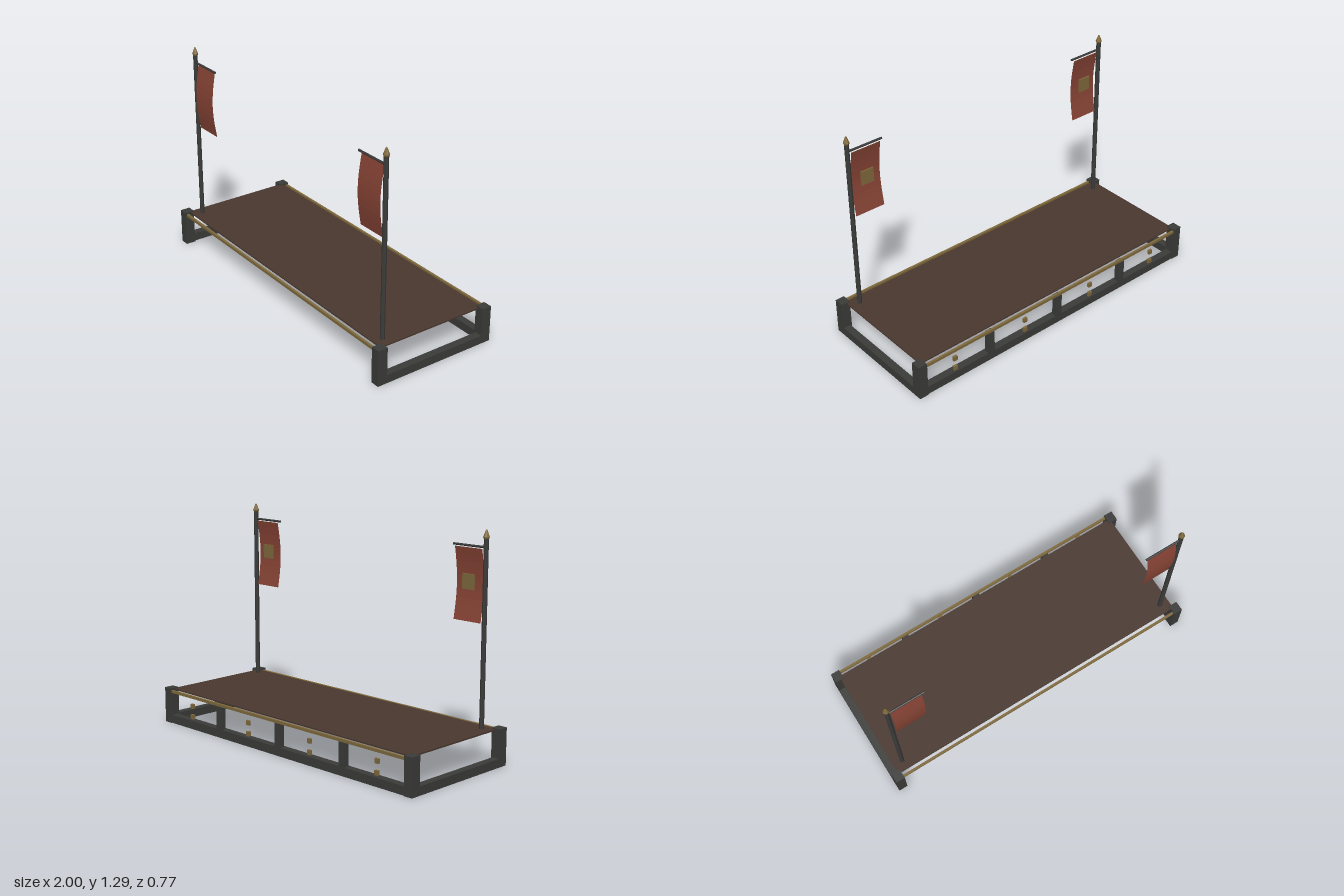
import * as THREE from 'three';

const paint = (color, side = THREE.FrontSide) =>
  new THREE.MeshStandardMaterial({ color, side, flatShading: true });

export function createModel() {
  const model = new THREE.Group();
  model.name = 'bannerPlatform';
  const iron = paint(0x3b3c3a);
  const wood = paint(0x49382f);
  const brass = paint(0x806a3c);
  const cloth = paint(0x8a4536, THREE.DoubleSide);

  const add = (parent, name, geometry, material, x, y, z) => {
    const mesh = new THREE.Mesh(geometry, material);
    mesh.name = name;
    mesh.position.set(x, y, z);
    parent.add(mesh);
    return mesh;
  };
  const box = (parent, name, material, w, h, d, x, y, z) =>
    add(parent, name, new THREE.BoxGeometry(w, h, d), material, x, y, z);

  // Deck and the long brass rails in front of and behind it
  box(model, 'deck', wood, 1.93, 0.008, 0.695, 0, 0.204, -0.003);
  box(model, 'frontRail', brass, 1.9, 0.016, 0.014, 0, 0.196, 0.369);
  box(model, 'backRail', brass, 1.9, 0.016, 0.014, 0, 0.196, -0.374);

  // Frame: corner posts, side sills and back sill
  for (const s of [-1, 1]) {
    for (const t of [-1, 1]) {
      box(model, 'cornerPost', iron, 0.055, 0.215, 0.06, s * 0.9725, 0.1075, t * 0.355);
    }
    box(model, 'sideSill', iron, 0.045, 0.05, 0.65, s * 0.9775, 0.025, 0);
  }
  box(model, 'backSill', iron, 1.89, 0.05, 0.045, 0, 0.025, -0.3575);

  // Back stiles, with a pair of brass studs in each bay
  for (const x of [-0.5, 0, 0.5]) {
    box(model, 'backStile', iron, 0.04, 0.14, 0.035, x, 0.118, -0.3665);
  }
  for (const x of [-0.75, -0.25, 0.25, 0.75]) {
    for (const y of [0.14, 0.075]) box(model, 'stud', brass, 0.025, 0.027, 0.015, x, y, -0.374);
  }

  // Banner poles, mirrored left and right; each banner hangs inwards
  const poleZ = 0.286;
  for (const s of [-1, 1]) {
    const standard = new THREE.Group();
    standard.name = s > 0 ? 'leftBanner' : 'rightBanner';
    standard.position.set(s * 0.905, 0, poleZ);
    model.add(standard);

    add(standard, 'pole', new THREE.CylinderGeometry(0.0135, 0.0135, 1.05, 8), iron, 0, 0.722, 0);

    const finial = [[0, 1.24], [0.014, 1.24], [0.018, 1.25], [0.004, 1.287], [0, 1.29]]
      .map(([r, y]) => new THREE.Vector2(r, y));
    add(standard, 'finial', new THREE.LatheGeometry(finial, 8), brass, 0, 0, 0);

    const bar = add(standard, 'crossbar', new THREE.CylinderGeometry(0.0065, 0.0065, 0.225, 8), iron,
      -s * 0.108, 1.195, 0);
    bar.rotation.z = Math.PI / 2;

    // Cloth bellies forward between its top and bottom edges
    const sheet = new THREE.PlaneGeometry(0.185, 0.4, 4, 10);
    const p = sheet.attributes.position;
    for (let i = 0; i < p.count; i++) {
      p.setZ(i, -0.007 + 0.023 * Math.cos((p.getY(i) / 0.4) * Math.PI));
    }
    sheet.computeVertexNormals();
    add(standard, 'banner', sheet, cloth, -s * 0.1125, 0.985, 0);
    box(standard, 'emblem', brass, 0.08, 0.085, 0.008, -s * 0.1125, 1.0, -0.001);
  }

  return model;
}
